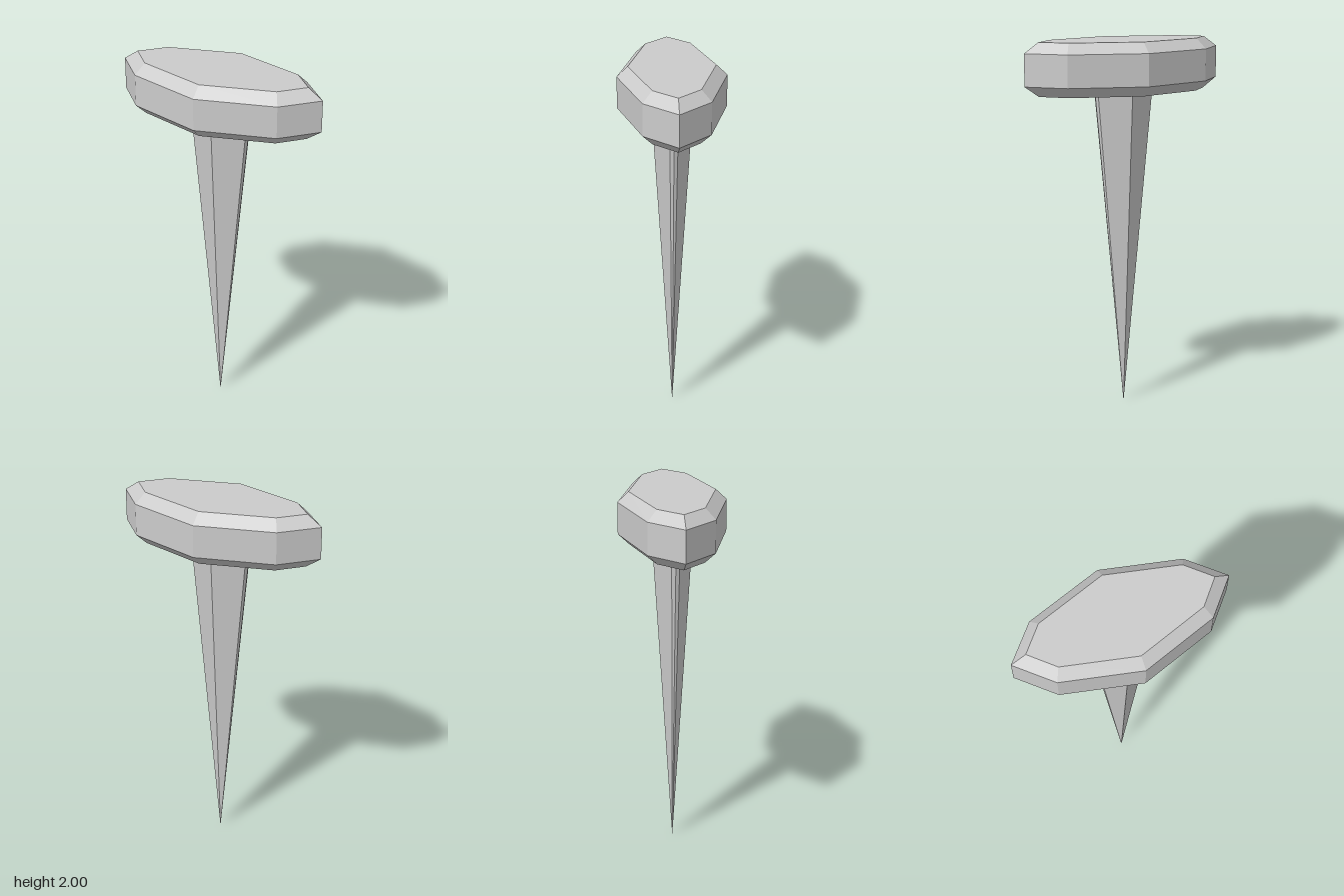
import * as THREE from 'three';

const material = new THREE.MeshStandardMaterial({ color: 0xcccccc, flatShading: true });

// Mirrors three quarter-outline points [x, z] into a closed eight-sided outline.
function octagon([tip, corner, side]) {
  const [x, z] = corner;
  return [tip, corner, side, [-x, z], [-tip[0], 0], [-x, -z], [0, -side[1]], [x, -z]];
}

// Skins a stack of outlines, listed from bottom to top, and caps both ends.
function loft(name, sections) {
  const positions = [];
  const rings = sections.map(([y, outline]) => outline.map(([x, z]) => [x, y, z]));
  const tri = (a, b, c) => positions.push(...a, ...b, ...c);
  const n = rings[0].length;
  for (let r = 0; r < rings.length - 1; r++) {
    for (let i = 0; i < n; i++) {
      const j = (i + 1) % n;
      tri(rings[r][i], rings[r + 1][i], rings[r + 1][j]);
      tri(rings[r][i], rings[r + 1][j], rings[r][j]);
    }
  }
  const bottom = rings[0], top = rings[rings.length - 1];
  for (let i = 1; i < n - 1; i++) {
    tri(bottom[0], bottom[i], bottom[i + 1]);
    tri(top[0], top[i + 1], top[i]);
  }
  const geometry = new THREE.BufferGeometry();
  geometry.setAttribute('position', new THREE.Float32BufferAttribute(positions, 3));
  geometry.computeVertexNormals();
  const mesh = new THREE.Mesh(geometry, material);
  mesh.name = name;
  return mesh;
}

export function createModel() {
  const group = new THREE.Group();
  group.name = 'spike';

  // Elongated head with bevelled upper and lower rims
  const rim = octagon([[0.57, 0], [0.405, 0.17], [0, 0.285]]);
  const face = octagon([[0.49, 0], [0.375, 0.12], [0, 0.227]]);
  group.add(loft('head', [[1.72, face], [1.775, rim], [1.945, rim], [2, face]]));

  // Flattened shaft tapering to a point
  const shaft = octagon([[0.168, 0], [0.161, 0.022], [0, 0.106]]);
  const point = shaft.map(([x, z]) => [x * 0.005, z * 0.005]);
  group.add(loft('shaft', [[0, point], [1.72, shaft]]));

  return group;
}
